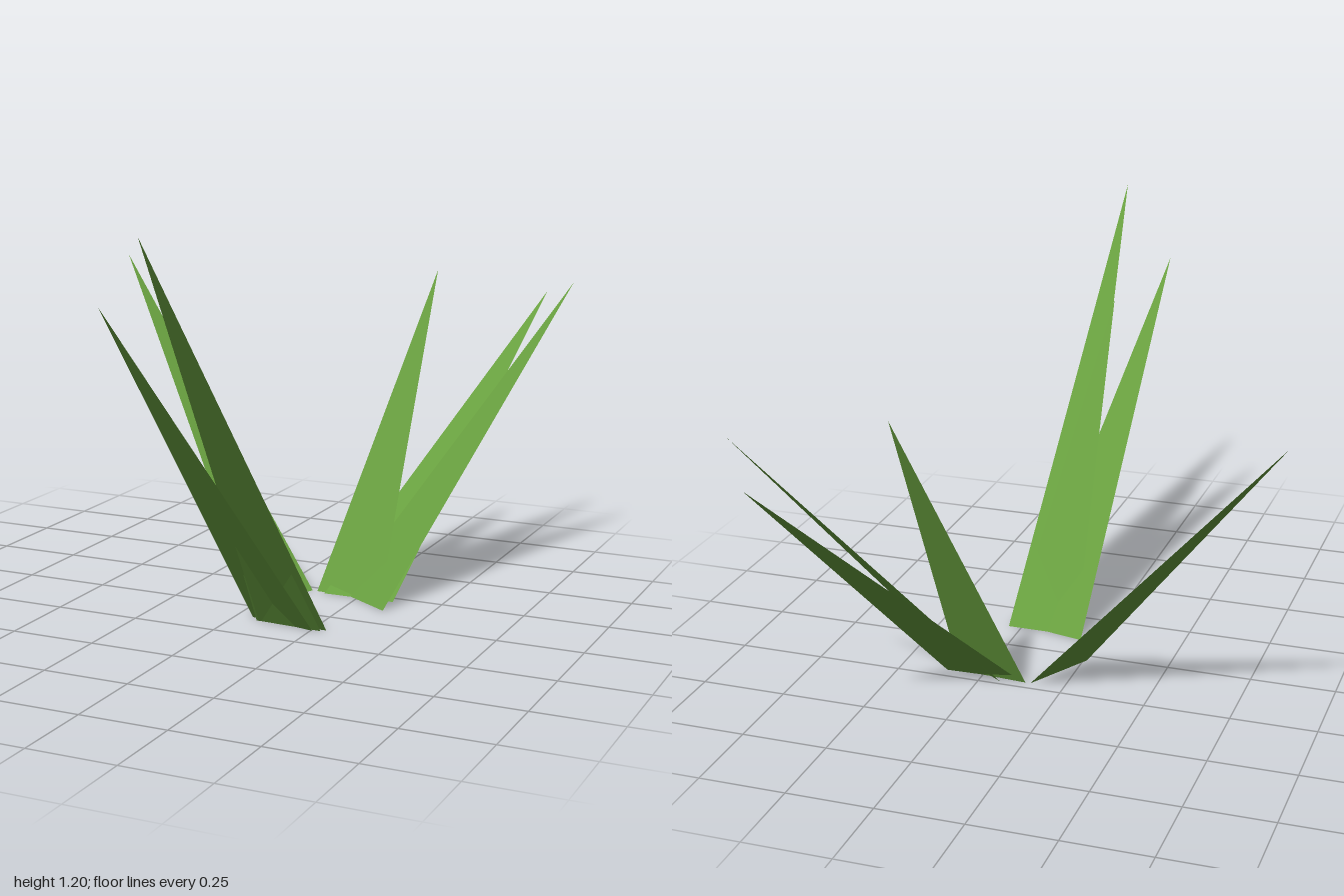
import * as THREE from 'three';

// One flat, pointed blade: two base corners on the ground and a tip.
function blade(name, left, right, tip, material) {
  const geometry = new THREE.BufferGeometry().setFromPoints([
    new THREE.Vector3(left[0], 0, left[1]),
    new THREE.Vector3(right[0], 0, right[1]),
    new THREE.Vector3(...tip),
  ]);
  geometry.computeVertexNormals();
  const mesh = new THREE.Mesh(geometry, material);
  mesh.name = name;
  return mesh;
}

export function createModel() {
  const group = new THREE.Group();
  group.name = 'grassTuft';
  const green = new THREE.MeshStandardMaterial({ color: 0x689f3f, side: THREE.DoubleSide });
  green.name = 'grassGreen';

  // name, base left (x, z), base right (x, z), tip (x, y, z)
  const blades = [
    // leaning to the side
    ['sideBlade', [-0.01, -0.03], [0.1, -0.22], [-0.705, 0.935, -0.56]],
    // leaning forward
    ['frontBladeOuter', [0.05, 0.095], [0.255, 0.139], [0, 1.0, 0.87]],
    ['frontBladeTall', [0.08, 0.12], [0.29, 0.12], [0.183, 1.195, 1.0]],
    ['frontBladeShort', [0.073, 0.119], [0.277, 0.132], [0.143, 0.885, 0.73]],
    // leaning back
    ['backBladeUpright', [0.115, -0.22], [0.323, -0.205], [0.32, 0.93, -0.66]],
    ['backBladeLong', [0.143, -0.207], [0.36, -0.213], [0.565, 0.835, -1.0]],
    ['backBladeOuter', [0.187, -0.236], [0.365, -0.12], [0.705, 0.895, -0.81]],
  ];
  for (const [name, left, right, tip] of blades) {
    group.add(blade(name, left, right, tip, green));
  }
  return group;
}
